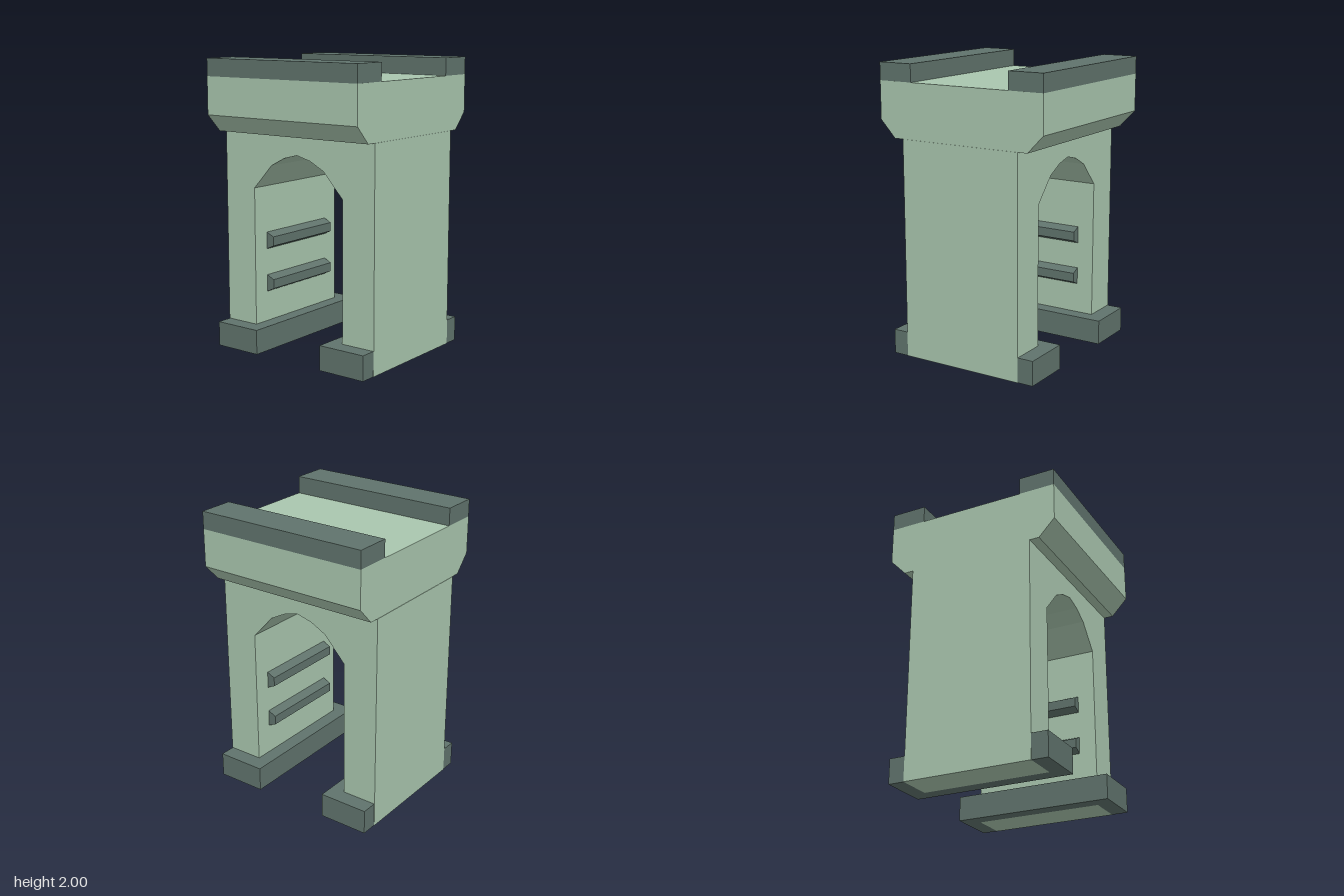
import * as THREE from 'three';

const stone = new THREE.MeshStandardMaterial({ color: 0xa9c6ae, flatShading: true });
const trim = new THREE.MeshStandardMaterial({ color: 0x60736c, flatShading: true });

// Prism from a 2D outline, centred along its length
function prism(points, length) {
  const shape = new THREE.Shape(points.map(([x, y]) => new THREE.Vector2(x, y)));
  const geometry = new THREE.ExtrudeGeometry(shape, { depth: length, bevelEnabled: false });
  return geometry.translate(0, 0, -length / 2);
}

export function createModel() {
  const model = new THREE.Group();
  const add = (name, geometry, material, x = 0, y = 0, z = 0) => {
    const mesh = new THREE.Mesh(geometry, material);
    mesh.name = name;
    mesh.position.set(x, y, z);
    model.add(mesh);
    return mesh;
  };
  const box = (name, material, [x0, x1], [y0, y1], [z0, z1]) =>
    add(name, new THREE.BoxGeometry(x1 - x0, y1 - y0, z1 - z0), material,
      (x0 + x1) / 2, (y0 + y1) / 2, (z0 + z1) / 2);
  const mirror = (points) => [...points, ...points.map(([x, y]) => [-x, y]).reverse()];

  // Two walls joined by a faceted arch, open to the sides
  const halfArch = [[0.625, 1.505], [0.625, 0], [0.373, 0], [0.373, 1.127],
    [0.22, 1.293], [0.11, 1.35]];
  const archOutline = [...halfArch, [0, 1.378], ...halfArch.map(([z, y]) => [-z, y]).reverse()];
  add('archedWalls', prism(archOutline.reverse(), 0.886).rotateY(Math.PI / 2), stone);

  // Overhanging top block with chamfered lower edges
  const cap = mirror([[0.51, 1.505], [0.622, 1.622], [0.622, 1.88]]);
  add('topBlock', prism(cap, 1.245), stone);

  for (const s of [1, -1]) {
    const span = (a, b) => (s > 0 ? [a, b] : [-b, -a]);
    const side = s > 0 ? 'left' : 'right';
    const end = s > 0 ? 'front' : 'back';

    // Parapet along each side
    box(side + 'Parapet', trim, span(0.372, 0.622), [1.88, 2], [-0.622, 0.622]);

    // Footing wrapped around three sides of each wall
    box(end + 'FootingInner', trim, [-0.555, 0.555], [0, 0.17], span(0.273, 0.373));
    for (const t of [1, -1]) {
      const x = t > 0 ? [0.443, 0.555] : [-0.555, -0.443];
      box(end + 'FootingEnd', trim, x, [0, 0.17], span(0.373, 0.622));
    }

    // Tapered rails on the inner faces of the walls
    for (const y of [0.44, 0.743]) {
      const rail = prism([[-0.01, -0.064], [0.058, -0.032], [0.058, 0.032], [-0.01, 0.064]], 0.645);
      add(end + 'Rail', rail, trim, 0, y, s * 0.373).rotation.y = s * Math.PI / 2;
    }
  }
  return model;
}
